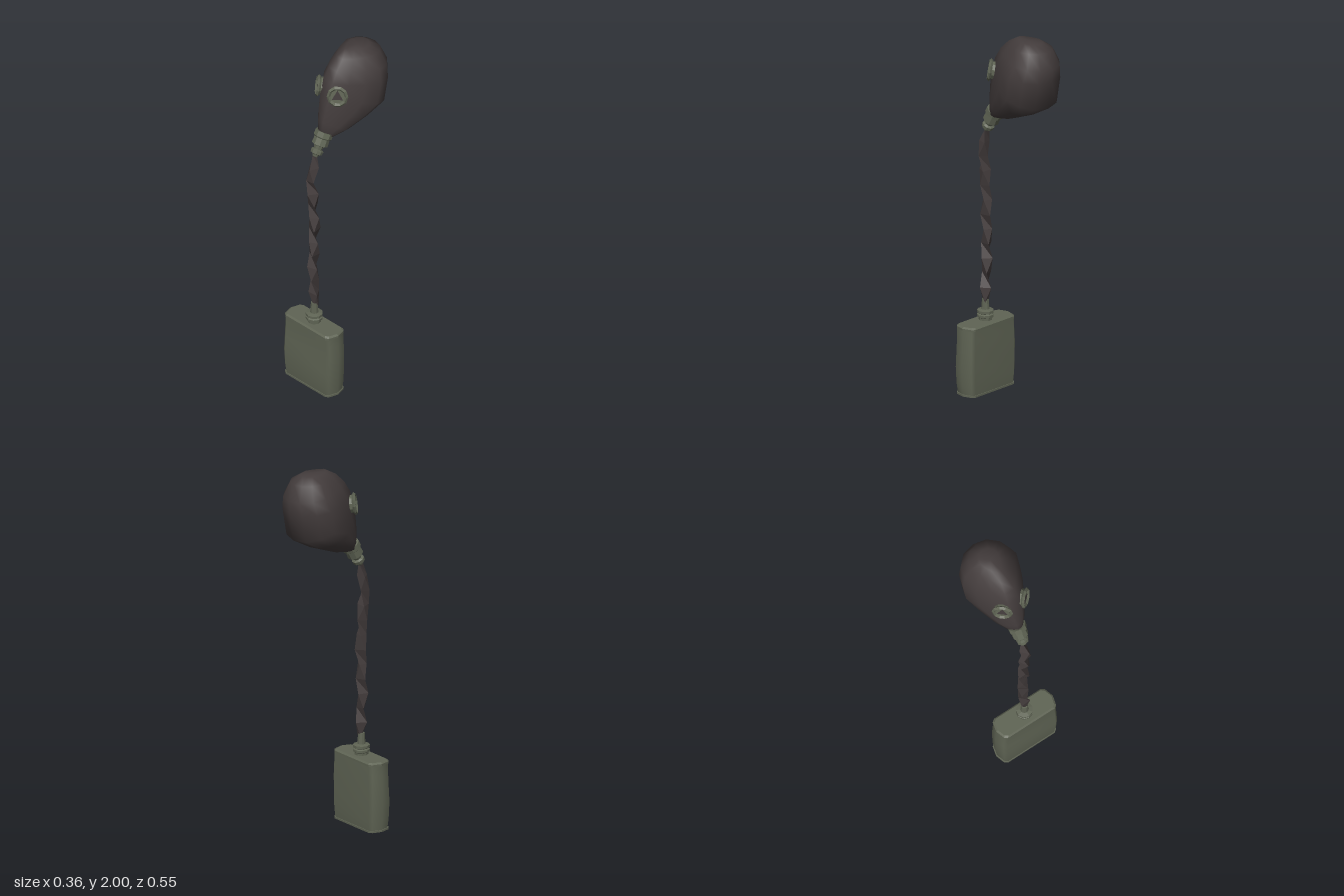
import * as THREE from 'three';

const rubber = new THREE.MeshStandardMaterial({ color: 0x433c3c });
rubber.name = 'dark rubber';
const metal = new THREE.MeshStandardMaterial({ color: 0x5f6454 });
metal.name = 'olive metal';
const rubberFlat = rubber.clone();
rubberFlat.flatShading = true;
const metalFlat = metal.clone();
metalFlat.flatShading = true;

function add(parent, name, geometry, material) {
  const mesh = new THREE.Mesh(geometry, material);
  mesh.name = name;
  parent.add(mesh);
  return mesh;
}

// Skin closed rings (bottom to top, counterclockwise from above) and cap both ends.
function loft(rings, sharpCaps) {
  const pos = [], idx = [], n = rings[0].length;
  rings.forEach(r => r.forEach(p => pos.push(...p)));
  for (let j = 0; j < rings.length - 1; j++) {
    for (let i = 0; i < n; i++) {
      const a = j * n + i, b = j * n + (i + 1) % n;
      idx.push(a, b, a + n, b, b + n, a + n);
    }
  }
  [0, rings.length - 1].forEach(j => {
    const ring = rings[j];
    let start = j * n;
    if (sharpCaps) {
      start = pos.length / 3;
      ring.forEach(p => pos.push(...p));
    }
    const c = pos.length / 3;
    pos.push(...[0, 1, 2].map(k => ring.reduce((s, p) => s + p[k], 0) / n));
    for (let i = 0; i < n; i++) {
      const a = start + i, b = start + (i + 1) % n;
      if (j) idx.push(c, a, b); else idx.push(c, b, a);
    }
  });
  const g = new THREE.BufferGeometry();
  g.setAttribute('position', new THREE.Float32BufferAttribute(pos, 3));
  g.setIndex(idx);
  g.computeVertexNormals();
  return g;
}

function lathe(profile, sides) {
  return new THREE.LatheGeometry(profile.map(p => new THREE.Vector2(...p)), sides);
}

// Hood: tilted egg sections, each given as front z, y, back z, y, half width.
function addHood(root) {
  const half = [[0.2, 0], [0.55, 0.17], [0.82, 0.38], [1, 0.6], [0.85, 0.8], [0.5, 0.95]];
  const egg = [...half, [0, 1], ...half.slice().reverse().map(([x, t]) => [-x, t])];
  const sections = [
    [0.165, 1.56, 0.10, 1.52, 0.045],
    [0.16, 1.63, 0.0, 1.54, 0.088],
    [0.148, 1.70, -0.13, 1.59, 0.13],
    [0.13, 1.78, -0.24, 1.65, 0.165],
    [0.105, 1.86, -0.265, 1.80, 0.168],
    [0.07, 1.92, -0.27, 1.87, 0.145],
    [0.02, 1.97, -0.235, 1.955, 0.105],
    [-0.03, 1.998, -0.18, 1.99, 0.055],
  ];
  const rings = sections.map(([fz, fy, bz, by, w]) =>
    egg.map(([x, t]) => [x * w, fy + (by - fy) * t, fz + (bz - fz) * t]));
  add(root, 'hood', loft(rings, false), rubber);

  const neck = add(root, 'neckOpening', new THREE.CircleGeometry(1, 6), rubber);
  neck.scale.set(0.095, 0.12, 1);
  neck.rotation.x = 1.98;
  neck.position.set(0, 1.588, -0.125);
}

// Eyepiece: faceted rim, backing disc and a triangular pane.
function addEye(root, side) {
  const eye = new THREE.Group();
  eye.name = side > 0 ? 'leftEyepiece' : 'rightEyepiece';
  eye.rotation.order = 'YXZ';
  eye.rotation.set(-0.15, side * 0.72, 0);
  eye.position.set(side * 0.072, 1.80, 0.107);
  eye.scale.y = 1.08;
  add(eye, 'eyeRim', new THREE.TorusGeometry(0.047, 0.01, 4, 10), metalFlat);
  const disc = add(eye, 'eyeDisc', new THREE.CylinderGeometry(0.045, 0.045, 0.03, 10), metalFlat);
  disc.rotation.x = Math.PI / 2;
  disc.position.z = -0.015;
  const pane = add(eye, 'eyePane', new THREE.CircleGeometry(0.034, 3, Math.PI / 2), rubber);
  pane.position.z = 0.002;
  root.add(eye);
}

// Hose: three-sided rings turned back and forth to give a crumpled twist.
function addHose(root) {
  const path = new THREE.CatmullRomCurve3([
    [0.005, 0.48, 0.2], [-0.008, 0.7, 0.203], [-0.004, 1.0, 0.2],
    [-0.004, 1.15, 0.21], [-0.003, 1.3, 0.223], [0, 1.44, 0.197],
  ].map(p => new THREE.Vector3(...p)));
  const steps = 12, rings = [];
  for (let j = 0; j <= steps; j++) {
    const c = path.getPointAt(j / steps), ring = [];
    const r = j === 0 || j === steps ? 0.014 : 0.031 + 0.004 * Math.sin(j * 2.3);
    for (let i = 0; i < 3; i++) {
      const a = i * Math.PI * 2 / 3 + (j % 2) * 1.0 + j * 0.12;
      ring.push([c.x + r * Math.sin(a), c.y, c.z + r * Math.cos(a)]);
    }
    rings.push(ring);
  }
  add(root, 'hose', loft(rings, true), rubberFlat);
}

// Canister: chamfered plan with a gently bulging, dented body.
function addCanister(root) {
  const quarter = [[0.15, 0.068], [0.167, 0.055], [0.182, 0]];
  const right = [...quarter, [0.167, -0.055], [0.15, -0.068]];
  const plan = [...right, ...right.slice().reverse().map(([x, z]) => [-x, z])];
  const ring = (y, sx, sz, dz = 0) => plan.map(([x, z]) => [x * sx, y, 0.205 + z * sz + dz]);
  add(root, 'canisterBody', loft([
    ring(0.008, 0.95, 0.9), ring(0.06, 0.98, 0.97, 0.001), ring(0.15, 1, 1, 0.002),
    ring(0.24, 1, 0.96, -0.001), ring(0.31, 0.98, 0.94, -0.001), ring(0.365, 0.97, 0.94),
  ], true), metal);
  add(root, 'canisterBase', loft([ring(0, 0.98, 0.96), ring(0.01, 0.98, 0.96)], true), metalFlat);
  add(root, 'canisterLid', loft([
    ring(0.363, 0.98, 0.96), ring(0.374, 0.98, 0.96), ring(0.382, 0.93, 0.84),
  ], true), metalFlat);
}

export function createModel() {
  const root = new THREE.Group();
  root.name = 'breathingMask';
  addHood(root);
  [1, -1].forEach(side => addEye(root, side));

  // Tilted coupling between chin and hose
  const coupling = add(root, 'chinCoupling', lathe([
    [0, -0.143], [0.015, -0.143], [0.02, -0.13], [0.032, -0.125], [0.034, -0.107],
    [0.022, -0.1], [0.028, -0.08], [0.044, -0.075], [0.042, -0.036], [0.05, -0.03],
    [0.05, 0], [0, 0],
  ], 9), metalFlat);
  coupling.position.set(0, 1.555, 0.13);
  coupling.rotation.x = -0.51;

  addHose(root);

  // Threaded collar and spout on the canister
  const collar = add(root, 'canisterCollar', lathe([
    [0, 0], [0.036, 0], [0.036, 0.015], [0.045, 0.02], [0.045, 0.032], [0.036, 0.037],
    [0.045, 0.042], [0.045, 0.055], [0.022, 0.06], [0.018, 0.12], [0, 0.12],
  ], 9), metalFlat);
  collar.position.set(0, 0.38, 0.205);

  addCanister(root);
  return root;
}
